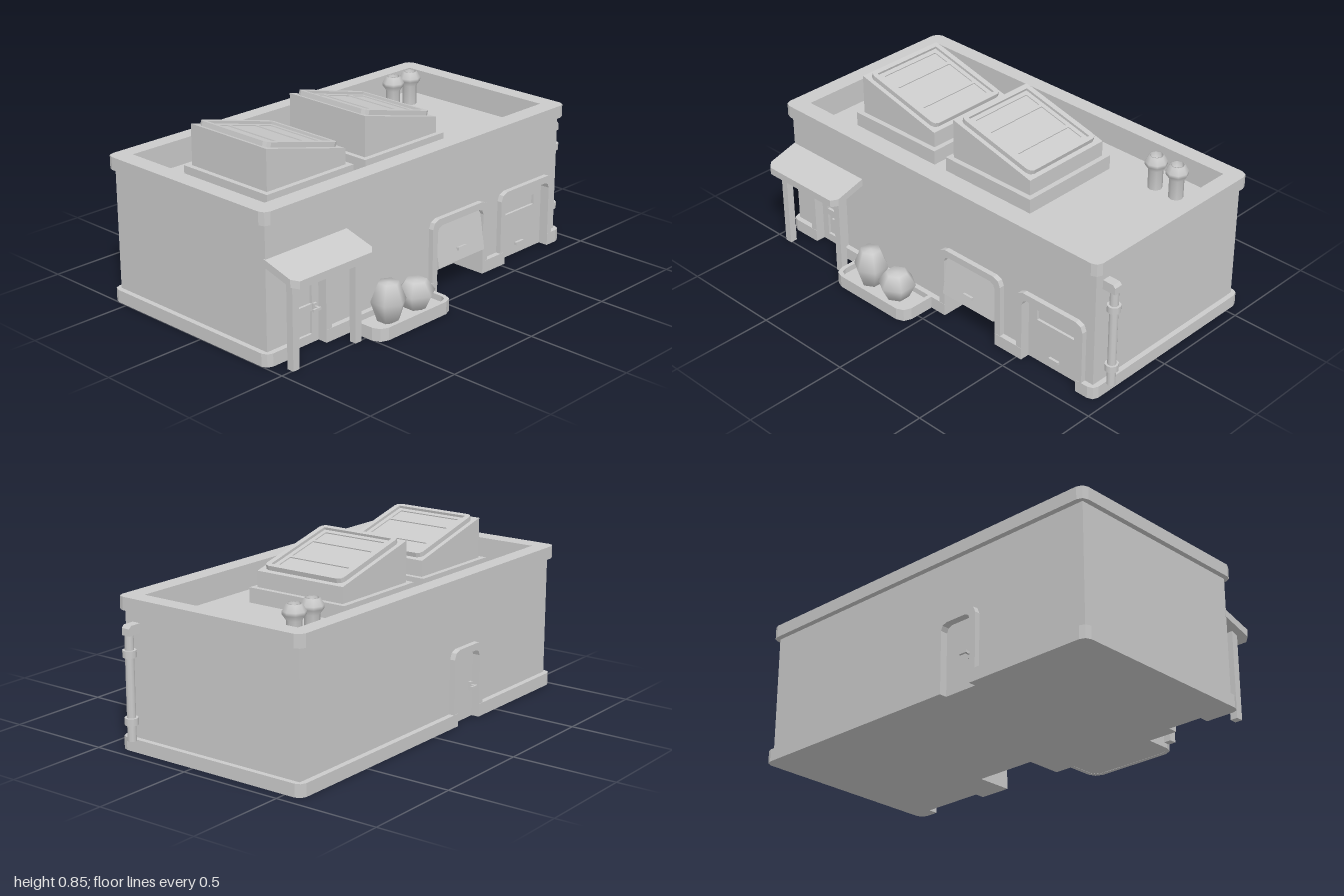
import * as THREE from 'three';

export function createModel() {
  const root = new THREE.Group();
  const mat = new THREE.MeshStandardMaterial({ color: 0xcacaca });
  mat.name = 'plain grey';

  // ---- helpers ----
  const add = (name, geo, parent = root) => {
    const m = new THREE.Mesh(geo, mat);
    m.name = name;
    parent.add(m);
    return m;
  };
  const box = (name, x0, x1, y0, y1, z0, z1, parent) =>
    add(name, new THREE.BoxGeometry(x1 - x0, y1 - y0, z1 - z0)
      .translate((x0 + x1) / 2, (y0 + y1) / 2, (z0 + z1) / 2), parent);
  const toShape = (pts) => new THREE.Shape(pts.map((p) => new THREE.Vector2(p[0], p[1])));
  const arc = (cx, cy, r, a0, a1, n = 2) => Array.from({ length: n + 1 }, (_, i) => {
    const a = a0 + ((a1 - a0) * i) / n;
    return [cx + r * Math.cos(a), cy + r * Math.sin(a)];
  });
  const rect = (x0, x1, y0, y1) => [[x0, y0], [x1, y0], [x1, y1], [x0, y1]];
  const P = Math.PI;
  const roundRect = (x0, x1, y0, y1, r) => [
    ...arc(x0 + r, y0 + r, r, P, 1.5 * P), ...arc(x1 - r, y0 + r, r, 1.5 * P, 2 * P),
    ...arc(x1 - r, y1 - r, r, 0, P / 2), ...arc(x0 + r, y1 - r, r, P / 2, P)];
  // outline of an opening with cut top corners, from lower left to lower right
  const arch = (x0, x1, h, r) => [[x0, 0], ...arc(x0 + r, h - r, r, P, P / 2),
    ...arc(x1 - r, h - r, r, P / 2, 0), [x1, 0]];
  const extrude = (pts, holes, depth) => {
    const s = toShape(pts);
    holes.forEach((h) => s.holes.push(toShape(h)));
    return new THREE.ExtrudeGeometry(s, { depth, bevelEnabled: false });
  };
  // upright sheet between z0 and z1, and flat slab between y0 and y1 (plan uses -z)
  const sheet = (name, pts, holes, z0, z1, parent) =>
    add(name, extrude(pts, holes, z1 - z0).translate(0, 0, z0), parent);
  const slab = (name, pts, holes, y0, y1, parent) =>
    add(name, extrude(pts, holes, y1 - y0).rotateX(-P / 2).translate(0, y0, 0), parent);

  // ---- openings: inner edges of each doorway ----
  const H = 0.325, R = 0.03, ROOF = 0.57, XR = 0.923;
  const front = [[-0.824, -0.653], [0.053, 0.367], [0.528, 0.846]];
  const back = [[-0.36, -0.19]];
  const wallOutline = (list) => [[-0.975, 0], ...list.flatMap(([a, b]) => arch(a, b, H, R)),
    [XR, 0], [XR, ROOF], [-0.975, ROOF]];

  // ---- walls and roof ----
  box('mainBody', -0.975, XR, 0, ROOF, -0.535, 0.235);
  sheet('frontWall', wallOutline(front), [], 0.235, 0.387);
  sheet('backWall', wallOutline(back), [], -0.56, -0.535);
  const roofHole = rect(-0.915, 0.867, -0.325, 0.51);
  slab('parapetWall', rect(-0.975, XR, -0.387, 0.56), [roofHole], ROOF, 0.63);
  slab('parapetTrim', roundRect(-1, 0.948, -0.413, 0.587, 0.035), [roofHole], 0.63, 0.69);

  // base trim, broken at every doorway
  const notch = (a, b, edge, inner) => [[a, edge], [a, inner], [b, inner], [b, edge]];
  const r = 0.035;
  slab('baseTrim', [
    ...arc(-1 + r, -0.413 + r, r, P, 1.5 * P),
    ...front.flatMap(([a, b]) => notch(a, b, -0.413, -0.235)),
    ...arc(0.948 - r, -0.413 + r, r, 1.5 * P, 2 * P),
    ...arc(0.948 - r, 0.587 - r, r, 0, P / 2),
    ...back.flatMap(([a, b]) => notch(b, a, 0.587, 0.535)),
    ...arc(-1 + r, 0.587 - r, r, P / 2, P)], [], 0, 0.06);

  // ---- door surrounds ----
  const surround = ([a, b], z0, z1) => sheet('doorSurround',
    [...arch(a - 0.032, b + 0.032, 0.358, 0.04), ...arch(a, b, H, R).reverse()], [], z0, z1);
  front.forEach((o) => surround(o, 0.38, 0.412));
  back.forEach((o) => surround(o, -0.586, -0.555));

  // ---- closed doors with sunken panels ----
  const closedDoor = (name, [a, b], holes) => {
    sheet(name + 'Core', arch(a, b, H, R), [], 0.23, 0.352);
    sheet(name, arch(a, b, H, R), holes, 0.352, 0.365);
  };
  closedDoor('entranceDoor', front[0],
    [rect(-0.788, -0.692, 0.18, 0.29), rect(-0.788, -0.692, 0.04, 0.148)]);
  closedDoor('closedGarageDoor', front[2], [rect(0.577, 0.792, 0.215, 0.265)]);
  box('garageHandle', 0.657, 0.712, 0.045, 0.058, 0.36, 0.378);
  sheet('backDoor', arch(...back[0], H, R), [], -0.55, -0.53);

  // door handles: plate and lever
  const handle = (x, y, z, turn) => {
    const g = new THREE.Group();
    g.name = 'doorHandle';
    box('handlePlate', -0.01, 0.01, -0.02, 0.02, 0, 0.012, g);
    box('handleStem', -0.005, 0.005, -0.004, 0.008, 0.01, 0.034, g);
    box('handleLever', -0.035, 0.008, -0.004, 0.008, 0.03, 0.04, g);
    g.position.set(x, y, z);
    g.rotation.y = turn;
    root.add(g);
  };
  handle(-0.681, 0.163, 0.363, 0);
  handle(-0.335, 0.15, -0.549, P);

  // ---- half-open garage door, swung outward ----
  const flap = new THREE.Group();
  flap.name = 'openGarageDoor';
  box('doorPanel', -0.157, 0.157, -0.2, 0, -0.015, 0, flap);
  box('doorHandleBar', -0.027, 0.027, -0.153, -0.138, 0, 0.014, flap);
  flap.position.set(0.21, 0.324, 0.388);
  flap.rotation.x = -0.17;
  root.add(flap);

  // ---- awning with cut front corners, sheared to slope down ----
  const awning = extrude([[-0.978, -0.38], [-0.978, -0.535], [-0.95, -0.562], [-0.53, -0.562],
    [-0.502, -0.535], [-0.502, -0.38]], [], 0.035).rotateX(-P / 2);
  const pos = awning.attributes.position;
  for (let i = 0; i < pos.count; i++) {
    pos.setY(i, pos.getY(i) + 0.442 - (pos.getZ(i) - 0.38) * 0.286);
  }
  awning.computeVertexNormals();
  add('awning', awning);
  for (const x of [-0.923, -0.555]) box('awningPost', x - 0.018, x + 0.018, 0, 0.42, 0.472, 0.507);

  // ---- planter with two faceted pots ----
  const tray = (x0, x1, zb, zf, c) => [[x0, -zb], ...arc(x0 + c, -zf + c, c, P, 1.5 * P),
    ...arc(x1 - c, -zf + c, c, 1.5 * P, 2 * P), [x1, -zb]];
  slab('planterRim', tray(-0.503, -0.033, 0.38, 0.587, 0.05),
    [tray(-0.483, -0.053, 0.41, 0.567, 0.035)], 0, 0.06);
  slab('planterFloor', tray(-0.493, -0.043, 0.38, 0.577, 0.045), [], 0.001, 0.032);
  const lathe = (name, pts, n, x, z) => {
    const m = add(name, new THREE.LatheGeometry(pts.map((p) => new THREE.Vector2(...p)), n));
    m.position.set(x, 0, z);
  };
  lathe('tallPot', [[0, 0.03], [0.05, 0.03], [0.082, 0.125], [0.048, 0.21], [0, 0.21]], 6, -0.35, 0.488);
  lathe('squatPot', [[0, 0.03], [0.055, 0.04], [0.09, 0.11], [0.05, 0.166], [0, 0.166]], 6, -0.176, 0.49);

  // ---- open-topped roof vents ----
  for (const x of [0.6, 0.719]) {
    lathe('roofVent', [[0.034, ROOF], [0.034, 0.665], [0.052, 0.69], [0.052, 0.705],
      [0.034, 0.736], [0.028, 0.736], [0.028, 0.7], [0, 0.7]], 8, x, -0.373);
  }

  // ---- drainpipe on the left side ----
  const tube = (name, rad, y0, y1) => add(name, new THREE.CylinderGeometry(rad, rad, y1 - y0, 10)
    .translate(0.97, (y0 + y1) / 2, 0.325));
  tube('drainPipe', 0.02, 0.06, 0.55);
  tube('lowerCollar', 0.031, 0.135, 0.167);
  tube('upperCollar', 0.031, 0.438, 0.47);
  sheet('pipeElbow', [[0.91, 0.535], [0.99, 0.535], [0.99, 0.567], [0.978, 0.58], [0.91, 0.58]],
    [], 0.304, 0.346);

  // ---- slanted skylights ----
  for (const x of [-0.502, 0.092]) {
    const sky = new THREE.Group();
    sky.name = 'skylight';
    box('skylightCurb', -0.26, 0.26, ROOF, 0.64, -0.263, 0.263, sky);
    sheet('skylightWedge', [[-0.235, 0.63], [0.235, 0.63], [0.235, 0.715], [-0.235, 0.832]],
      [], -0.237, 0.237, sky);
    const lid = new THREE.Group();
    lid.name = 'skylightLid';
    slab('lidRim', roundRect(-0.22, 0.22, -0.215, 0.215, 0.025),
      [rect(-0.198, 0.198, -0.188, 0.188)], 0, 0.023, lid);
    slab('lidBars', rect(-0.198, 0.198, -0.188, 0.188),
      [[-0.175, -0.093], [-0.077, 0.077], [0.093, 0.175]].map(([a, b]) => rect(a, b, -0.165, 0.165)),
      0, 0.011, lid);
    slab('panes', rect(-0.198, 0.198, -0.188, 0.188), [], -0.002, 0.006, lid);
    lid.position.set(0, 0.773, 0);
    lid.rotation.z = -0.245;
    sky.add(lid);
    sky.position.set(x, 0, -0.088);
    root.add(sky);
  }
  return root;
}
